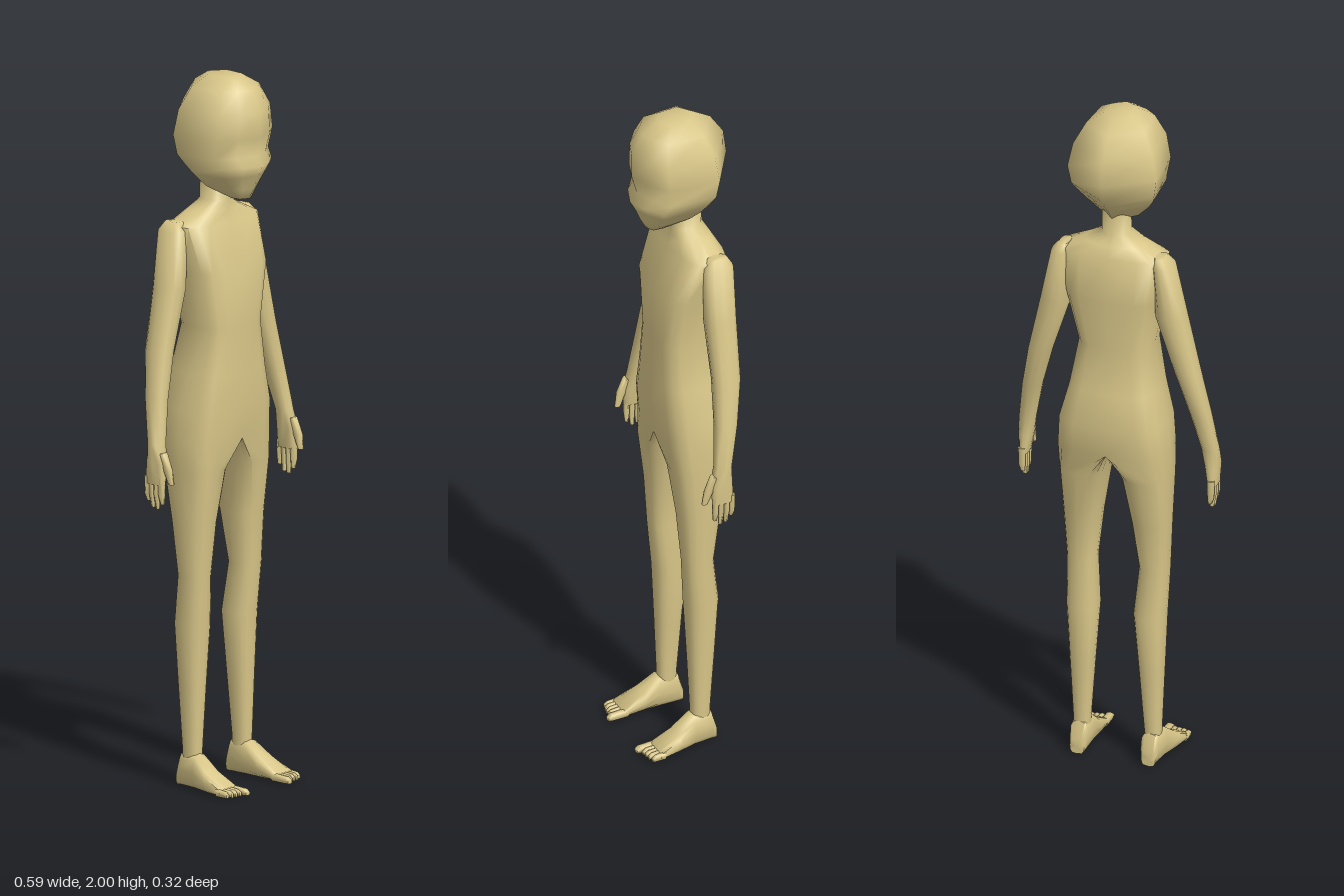
import * as THREE from 'three';
import { mergeGeometries, toCreasedNormals } from 'three/addons/utils/BufferGeometryUtils.js';

const skin = new THREE.MeshStandardMaterial({ color: 0xd8c688 });
skin.name = 'skin';

// Rounded-rectangle ring of n points: starts at the v1 side and turns towards u1
function oval(u0, u1, v0, v1, p, n, place) {
  const bend = (s) => Math.sign(s) * Math.pow(Math.abs(s), 2 / p);
  return Array.from({ length: n }, (_, i) => {
    const a = (i / n) * Math.PI * 2;
    return place((u0 + u1) / 2 + bend(Math.sin(a)) * (u1 - u0) / 2,
      (v0 + v1) / 2 + bend(Math.cos(a)) * (v1 - v0) / 2);
  });
}
// Ring lying flat at height y
const flat = (y, x0, x1, zf, zb, p = 2.5, n = 16) => oval(x0, x1, zb, zf, p, n, (u, v) => [u, y, v]);
// Ring standing upright at depth z
const upright = (z, x0, x1, y0, y1, p = 3, n = 12) => oval(x0, x1, y0, y1, p, n, (u, v) => [u, v, z]);

// Skin a list of rings, closing the chosen ends with fans
function loft(rings, capStart = true, capEnd = true) {
  const n = rings[0].length, pos = rings.flat(), index = [];
  for (let j = 0; j < rings.length - 1; j++) {
    for (let i = 0; i < n; i++) {
      const a = j * n + i, b = j * n + (i + 1) % n;
      index.push(a, a + n, b, b, a + n, b + n);
    }
  }
  const cap = (j, flip) => {
    const centre = [0, 1, 2].map((k) => rings[j].reduce((s, q) => s + q[k], 0) / n);
    const c = pos.push(centre) - 1;
    for (let i = 0; i < n; i++) {
      const a = j * n + i, b = j * n + (i + 1) % n;
      index.push(c, flip ? b : a, flip ? a : b);
    }
  };
  if (capStart) cap(0, false);
  if (capEnd) cap(rings.length - 1, true);
  const g = new THREE.BufferGeometry();
  g.setAttribute('position', new THREE.Float32BufferAttribute(pos.flat(), 3));
  g.setIndex(index);
  return g;
}

// Mirror across x = 0, keeping faces outward
function mirror(g) {
  const m = g.clone().scale(-1, 1, 1), ix = m.index.array;
  for (let i = 0; i < ix.length; i += 3) [ix[i], ix[i + 1]] = [ix[i + 1], ix[i]];
  return m;
}

export function createModel() {
  const model = new THREE.Group();
  model.name = 'figure';
  const add = (name, g, parent = model, crease = 1.2) => {
    const mesh = new THREE.Mesh(toCreasedNormals(g, crease), skin);
    mesh.name = name;
    parent.add(mesh);
  };

  // Neck and torso: height, half width, front z, back z, squareness
  const torso = [
    [1.73, 0.04, 0.0, -0.075, 2.2], [1.645, 0.04, 0.01, -0.08, 2.2],
    [1.62, 0.085, 0.012, -0.095, 2.6], [1.588, 0.152, 0.022, -0.11, 3.2],
    [1.46, 0.135, 0.07, -0.128, 3.6], [1.3, 0.105, 0.07, -0.1, 3.4],
    [1.17, 0.126, 0.072, -0.125, 3.6], [1.07, 0.15, 0.073, -0.147, 3.8],
    [0.98, 0.158, 0.063, -0.13, 3.8],
  ].map(([y, w, zf, zb, p]) => flat(y, -w, w, zf, zb, p));

  // Leg starts from one half of the hip ring, closed along the crotch line
  const hip = torso[torso.length - 1];
  const legTop = hip.map(([x, y, z], i) => [i % 8 === 0 || i > 8 ? 0 : x, y, z]);
  const leg = loft([legTop, ...[
    [0.9, 0.025, 0.157, 0.054, -0.112, 3], [0.75, 0.046, 0.153, 0.036, -0.085],
    [0.6, 0.064, 0.147, 0.025, -0.062], [0.46, 0.053, 0.143, 0.015, -0.08],
    [0.28, 0.067, 0.135, 0.007, -0.068], [0.1, 0.08, 0.127, 0.0, -0.055],
    [0.06, 0.08, 0.127, 0.0, -0.055],
  ].map((r) => flat(...r))], false);
  add('body', mergeGeometries([loft(torso, true, false), leg, mirror(leg)]));

  // Head: height, half width, front z, back z
  const outline = [[0, 1], [0.5, 0.92], [0.92, 0.79], [1, 0.29], [0, 0], [-1, 0.29], [-0.92, 0.79], [-0.5, 0.92]];
  const head = [
    [2.0, 0.04, 0.05, -0.06], [1.97, 0.085, 0.1, -0.11], [1.91, 0.116, 0.13, -0.15],
    [1.84, 0.13, 0.13, -0.16], [1.785, 0.121, 0.115, -0.145], [1.76, 0.112, 0.136, -0.128],
    [1.73, 0.093, 0.12, -0.1], [1.69, 0.056, 0.103, -0.07], [1.662, 0.028, 0.088, 0.03],
  ].map(([y, w, zf, zb]) => outline.map(([x, t]) => [x * w, y, zb + t * (zf - zb)]));
  add('head', loft(head), model, 1.5);

  // Arm down to the palm
  const arm = loft([
    [1.6, 0.125, 0.155, -0.035, -0.09], [1.575, 0.12, 0.177, -0.018, -0.105],
    [1.42, 0.125, 0.211, -0.012, -0.1], [1.25, 0.18, 0.248, -0.012, -0.092],
    [1.12, 0.217, 0.273, -0.004, -0.068], [1.0, 0.243, 0.291, 0.008, -0.04],
    [0.95, 0.251, 0.293, 0.022, -0.042], [0.89, 0.263, 0.288, 0.02, -0.045],
  ].map((r) => flat(...r, 2.5, 12)));
  // Fingers, front to back, by tip height
  const fingers = [0.835, 0.82, 0.823, 0.84].map((tip, i) => {
    const z = 0.018 - i * 0.0165;
    return loft([flat(0.91, 0.265, 0.287, z, z - 0.016, 3, 8),
      flat(0.86, 0.266, 0.286, z, z - 0.015, 3, 8),
      flat(tip, 0.268, 0.279, z - 0.002, z - 0.012, 3, 8)]);
  });
  const thumb = loft([flat(0.98, 0.258, 0.284, 0.022, -0.008, 2.5, 8),
    flat(0.935, 0.261, 0.282, 0.043, 0.015, 2.5, 8),
    flat(0.895, 0.263, 0.277, 0.049, 0.032, 2.5, 8)]);

  // Foot, heel to ball
  const foot = loft([
    [-0.07, 0.083, 0.125, 0, 0.045], [-0.055, 0.077, 0.13, 0, 0.095],
    [0.0, 0.076, 0.137, 0, 0.097], [0.05, 0.076, 0.15, 0, 0.058],
    [0.115, 0.077, 0.157, 0, 0.022],
  ].map((r) => upright(...r)));
  // Toes, big toe first: inner x, width, tip z
  const toes = [[0.077, 0.022, 0.16], [0.1, 0.013, 0.149], [0.114, 0.013, 0.147],
    [0.128, 0.013, 0.145], [0.142, 0.014, 0.14]].map(([x, w, tip]) => loft([
    upright(0.1, x, x + w, 0, 0.023, 3, 8), upright(tip - 0.01, x, x + w, 0, 0.02, 3, 8),
    upright(tip, x + 0.002, x + w - 0.002, 0.001, 0.013, 3, 8)]));

  for (const [side, turn] of [['left', (g) => g], ['right', mirror]]) {
    const hand = new THREE.Group(), footGroup = new THREE.Group();
    hand.name = side + 'Hand';
    footGroup.name = side + 'FootWithToes';
    model.add(hand, footGroup);
    add(side + 'Arm', turn(arm));
    fingers.forEach((g, i) => add(side + 'Finger' + (i + 1), turn(g), hand));
    add(side + 'Thumb', turn(thumb), hand);
    add(side + 'Foot', turn(foot), footGroup);
    toes.forEach((g, i) => add(side + 'Toe' + (i + 1), turn(g), footGroup));
  }
  return model;
}
